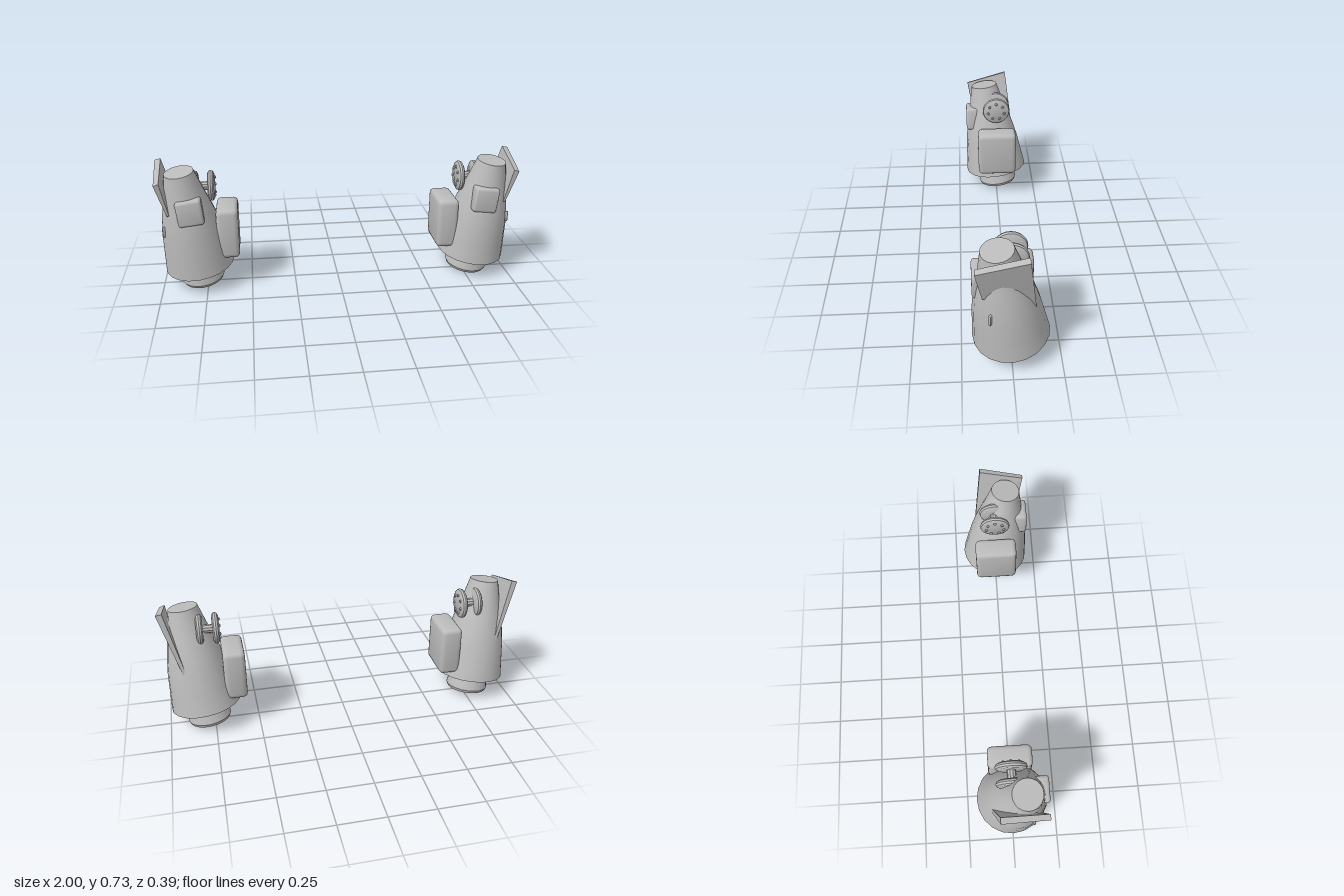
import * as THREE from 'three';
import { toCreasedNormals } from 'three/addons/utils/BufferGeometryUtils.js';
import { RoundedBoxGeometry } from 'three/addons/geometries/RoundedBoxGeometry.js';

const BASE = new THREE.Vector3(0.79, 0.132, 0); // centre of the body's lower rim
const AXIS = new THREE.Vector3(0.125, 1, 0.125).normalize(); // outward and forward lean

const lathe = (points, sides) =>
  new THREE.LatheGeometry(points.map(([r, y]) => new THREE.Vector2(r, y)), sides);

// Lathe placed along the leaning axis of the pod
function leaning(points, sides) {
  const q = new THREE.Quaternion().setFromUnitVectors(new THREE.Vector3(0, 1, 0), AXIS);
  return lathe(points, sides).applyQuaternion(q).translate(BASE.x, BASE.y, BASE.z);
}

// Wheel-like disc facing the centre of the model
const disc = (r, half, x, y, z) =>
  lathe([[0, -half], [r * 0.8, -half], [r * 0.95, -half * 0.6], [r, 0],
    [r * 0.95, half * 0.6], [r * 0.8, half], [0, half]], 24)
    .rotateZ(Math.PI / 2).translate(x, y, z);

// Box whose eight corners are moved to form the tapered fin
function finGeometry() {
  const corners = { // keys: outer/inner, top/bottom, front/rear
    OTF: [0.985, 0.66, 0.177], OTR: [0.998, 0.726, -0.07],
    OBF: [0.934, 0.475, 0.143], OBR: [0.886, 0.355, -0.115],
    ITF: [0.957, 0.67, 0.176], ITR: [0.966, 0.734, -0.07],
    IBF: [0.922, 0.475, 0.143], IBR: [0.87, 0.355, -0.115],
  };
  const g = new THREE.BoxGeometry(1, 1, 1);
  const p = g.attributes.position;
  for (let i = 0; i < p.count; i++) {
    const key = (p.getX(i) > 0 ? 'O' : 'I') + (p.getY(i) > 0 ? 'T' : 'B') + (p.getZ(i) > 0 ? 'F' : 'R');
    p.setXYZ(i, ...corners[key]);
  }
  return g;
}

// Mirror across x = 0 and restore the winding
function mirrored(source) {
  const g = source.clone().scale(-1, 1, 1);
  for (const a of [g.attributes.position, g.attributes.normal]) {
    for (let i = 0; i < a.count; i += 3) {
      const b = [a.getX(i + 1), a.getY(i + 1), a.getZ(i + 1)];
      a.setXYZ(i + 1, a.getX(i + 2), a.getY(i + 2), a.getZ(i + 2));
      a.setXYZ(i + 2, ...b);
    }
  }
  return g;
}

export function createModel() {
  const grey = new THREE.MeshStandardMaterial({ color: 0xbcbcbc });
  grey.name = 'grey';

  const parts = [];
  const add = (name, geometry, crease = 0.6) => {
    geometry.deleteAttribute('uv');
    parts.push([name, toCreasedNormals(geometry, crease)]);
  };

  // Tapered body and the collar below it
  add('body', leaning([[0, 0], [0.195, 0], [0.18, 0.115], [0.168, 0.21], [0.15, 0.3],
    [0.13, 0.38], [0.11, 0.45], [0.08, 0.575], [0, 0.575]], 20));
  add('collar', leaning([[0, -0.107], [0.114, -0.107], [0.122, -0.09], [0.101, 0.01], [0, 0.01]], 20));

  // Outer fin
  add('fin', finGeometry(), 0.1);

  // Inner side box and front box
  add('sideBox', new RoundedBoxGeometry(0.12, 0.285, 0.24, 2, 0.026).translate(0.62, 0.338, 0));
  add('frontBox', new RoundedBoxGeometry(0.138, 0.142, 0.08, 2, 0.016)
    .rotateZ(-0.12).translate(0.811, 0.498, 0.15));

  // Pair of discs on an axle, with studs on the exposed face
  const y = 0.59;
  add('innerDisc', disc(0.085, 0.018, 0.698, y, 0));
  add('outerDisc', disc(0.085, 0.018, 0.785, y, 0));
  add('axle', new THREE.CylinderGeometry(0.024, 0.024, 0.09, 10).rotateZ(Math.PI / 2).translate(0.742, y, 0));
  for (let i = 0; i < 7; i++) {
    const a = (i / 7) * Math.PI * 2;
    add('stud', new THREE.SphereGeometry(0.009, 8, 6)
      .translate(0.68, y + 0.052 * Math.cos(a), 0.052 * Math.sin(a)));
  }

  // Small raised tab on the outer wall
  add('tab', new RoundedBoxGeometry(0.024, 0.06, 0.012, 2, 0.005).rotateY(-0.5).translate(0.959, 0.37, 0.107));

  const model = new THREE.Group();
  model.name = 'podPair';
  for (const side of ['left', 'right']) {
    const pod = new THREE.Group();
    pod.name = side + 'Pod';
    for (const [name, geometry] of parts) {
      const mesh = new THREE.Mesh(side === 'left' ? geometry : mirrored(geometry), grey);
      mesh.name = name;
      pod.add(mesh);
    }
    model.add(pod);
  }
  return model;
}
